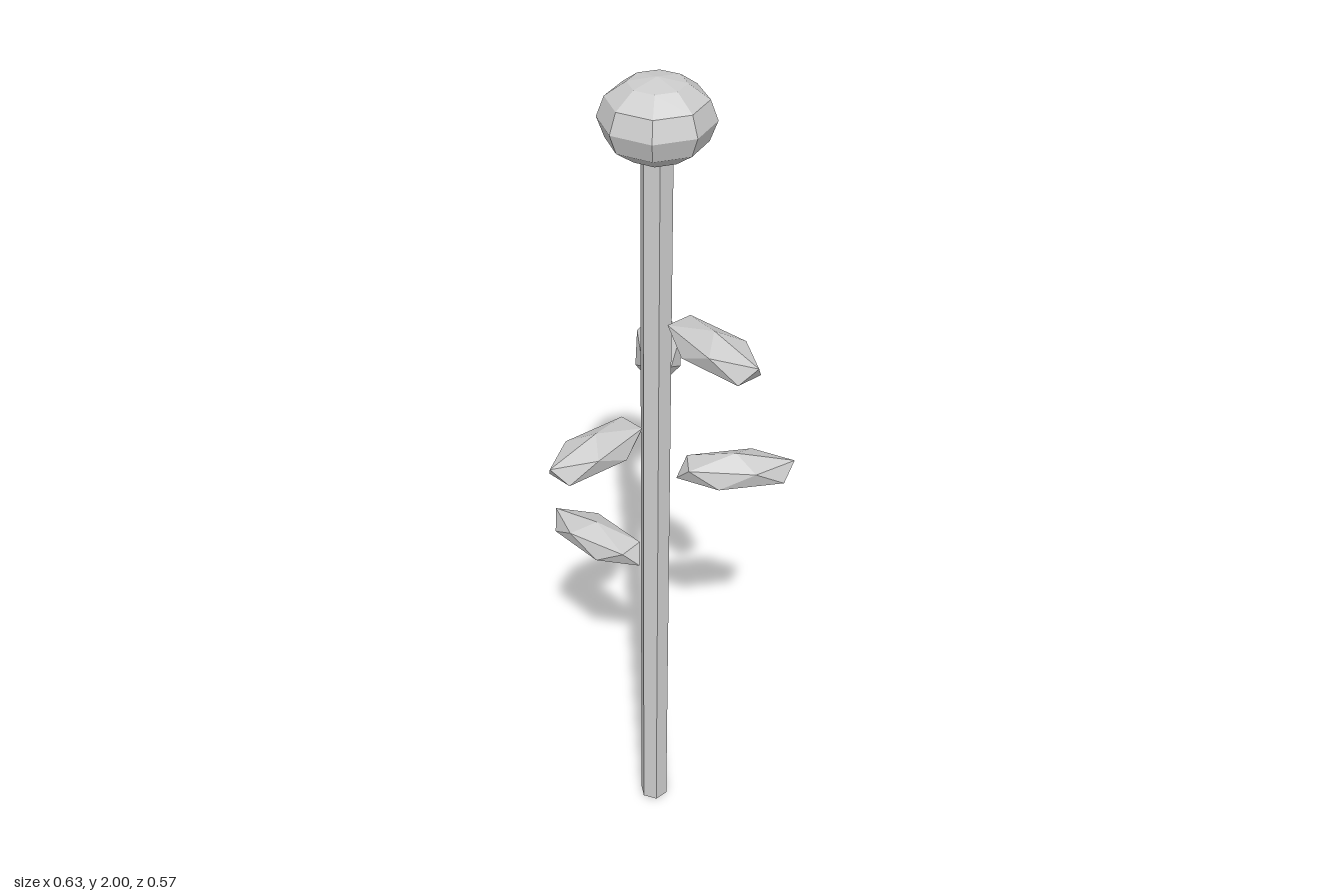
import * as THREE from 'three';

export function createModel() {
  const group = new THREE.Group();
  const material = new THREE.MeshStandardMaterial({ color: 0xcccccc, flatShading: true });
  const axisZ = -0.037;

  const add = (name, geometry, x, y, z) => {
    const mesh = new THREE.Mesh(geometry, material);
    mesh.name = name;
    mesh.position.set(x, y, z);
    group.add(mesh);
    return mesh;
  };

  // Six-sided stem
  add('stem', new THREE.CylinderGeometry(0.035, 0.035, 1.86, 6), 0, 0.93, axisZ);

  // Flattened flower head
  const head = new THREE.SphereGeometry(0.12, 8, 6).scale(1, 0.72, 1);
  add('flowerHead', head, 0, 1.914, axisZ);

  // Leaf: an icosahedron turned to stand on a corner, stretched along x
  const leaf = new THREE.IcosahedronGeometry(1, 0)
    .rotateX(-Math.atan((1 + Math.sqrt(5)) / 2))
    .rotateY(Math.PI / 2)
    .scale(0.15, 0.045, 0.06);

  // Leaves spiral round the stem by the golden angle
  const reach = 0.182;
  [1.47, 1.27, 1.207, 1.055, 0.77].forEach((y, i) => {
    const angle = THREE.MathUtils.degToRad(137.5 * i);
    const mesh = add(`leaf${i + 1}`, leaf,
      reach * Math.cos(angle), y, axisZ - reach * Math.sin(angle));
    mesh.rotation.y = angle;
  });

  return group;
}
